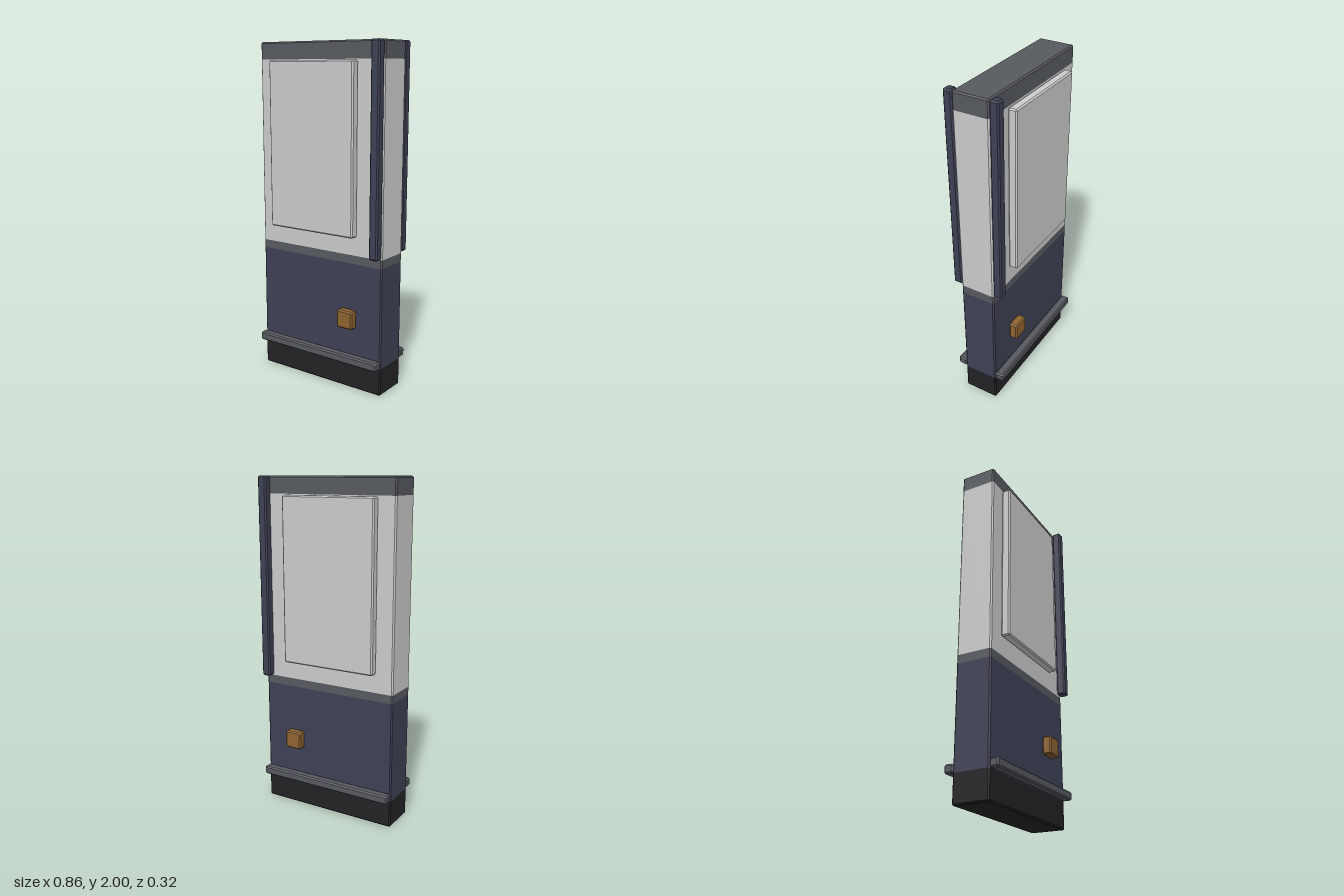
import * as THREE from 'three';
import { ConvexGeometry } from 'three/addons/geometries/ConvexGeometry.js';

const mat = (color) => new THREE.MeshStandardMaterial({ color, flatShading: true });

// Box between two corners with chamfered edges; top and bottom chamfers can be left out
function chamferBox([x0, y0, z0], [x1, y1, z1], c, bottom = c, top = c) {
  const points = [];
  const ring = (y, inset, cut) => {
    for (const [x, sx] of [[x0 + inset, 1], [x1 - inset, -1]]) {
      for (const [z, sz] of [[z0 + inset, 1], [z1 - inset, -1]]) {
        points.push(new THREE.Vector3(x + sx * cut, y, z));
        if (cut) points.push(new THREE.Vector3(x, y, z + sz * cut));
      }
    }
  };
  if (bottom) ring(y0, bottom, 0);
  ring(y0 + bottom, 0, c);
  ring(y1 - top, 0, c);
  if (top) ring(y1, top, 0);
  return new ConvexGeometry(points);
}

export function createModel() {
  const group = new THREE.Group();
  const light = mat(0xcccccc), navy = mat(0x3e4155), slate = mat(0x565a60);
  const black = mat(0x232326), amber = mat(0x8f6430);

  const add = (name, geometry, material) => {
    const mesh = new THREE.Mesh(geometry, material);
    mesh.name = name;
    group.add(mesh);
  };

  // Stacked sections of the slab: name, bottom, top, material, chamfer below, chamfer above
  const W = 0.43, D = 0.107, C = 0.008;
  const sections = [
    ['base', 0, 0.165, black, C, 0],
    ['lowerBody', 0.165, 0.76, navy, 0, 0],
    ['middleBand', 0.76, 0.81, slate, 0, 0],
    ['upperBody', 0.81, 1.9, light, 0, 0],
    ['topCap', 1.9, 2, slate, 0, C],
  ];
  for (const [name, y0, y1, material, bottom, top] of sections) {
    add(name, chamferBox([-W, y0, -D], [W, y1, D], C, bottom, top), material);
  }

  // Raised parts repeated on the front and back: name, x range, y range, material
  const raised = [
    ['Panel', -0.325, 0.265, 0.92, 1.895, light],
    ['Post', 0.375, W, 0.815, 2, navy],
    ['Button', 0.16, 0.265, 0.38, 0.487, amber],
    ['Trim', -W, W, 0.165, 0.215, slate],
  ];
  for (const [side, z0, z1] of [['front', D, 0.16], ['back', -0.16, -D]]) {
    for (const [part, x0, x1, y0, y1, material] of raised) {
      add(side + part, chamferBox([x0, y0, z0], [x1, y1, z1], C), material);
    }
  }
  return group;
}
